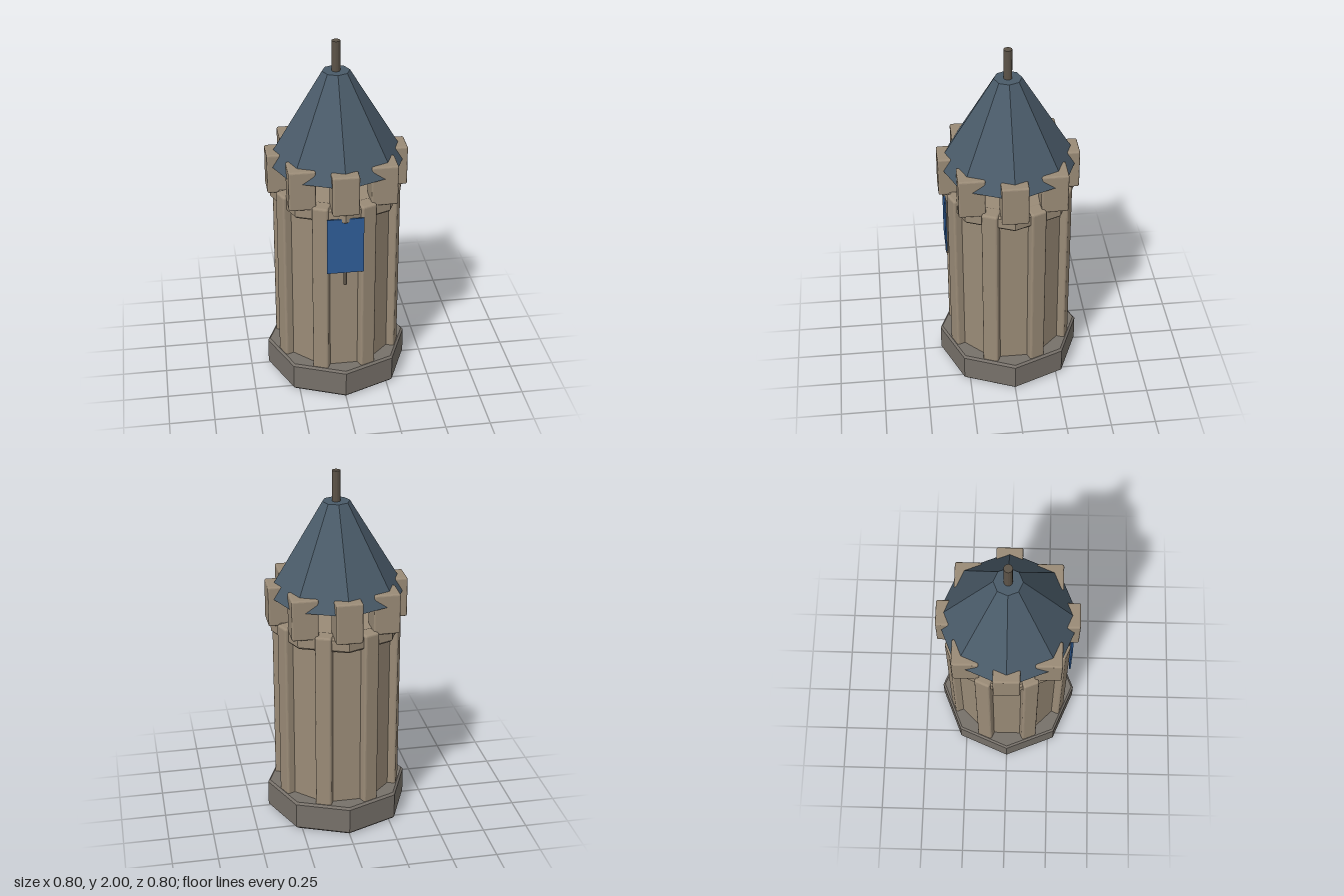
import * as THREE from 'three';
import { RoundedBoxGeometry } from 'three/addons/geometries/RoundedBoxGeometry.js';

const mat = (color) => new THREE.MeshStandardMaterial({ color, flatShading: true });
const stone = mat(0x9a8b77);
const darkStone = mat(0x77716a);
const slate = mat(0x4a5b69);
const wood = mat(0x5c5348);
const cloth = mat(0x2f5c96);

function add(parent, name, geometry, material, x = 0, y = 0, z = 0) {
  const mesh = new THREE.Mesh(geometry, material);
  mesh.name = name;
  mesh.position.set(x, y, z);
  parent.add(mesh);
  return mesh;
}

// Closed eight-sided slab with chamfered rims; a corner points along +z
function octagonSlab(radius, y0, y1, bevel) {
  const profile = [
    [0, y0], [radius - bevel, y0], [radius, y0 + bevel],
    [radius, y1 - bevel], [radius - bevel, y1], [0, y1],
  ].map(([r, y]) => new THREE.Vector2(r, y));
  return new THREE.LatheGeometry(profile, 8);
}

// Upright rod between two heights
function rod(radius, y0, y1) {
  return new THREE.CylinderGeometry(radius, radius, y1 - y0, 16).translate(0, (y0 + y1) / 2, 0);
}

export function createModel() {
  const tower = new THREE.Group();
  tower.name = 'tower';

  // Plinth, shaft and the ledge below the battlements
  add(tower, 'base', octagonSlab(0.4, 0, 0.168, 0.012), darkStone);
  const shaft = add(tower, 'shaft', octagonSlab(0.328, 0.1, 1.18, 0.008), stone);
  shaft.rotation.y = Math.PI / 8;
  add(tower, 'ledge', octagonSlab(0.365, 1.1, 1.18, 0.012), stone);

  // Pilasters on the shaft corners, turned to face outward
  const pilasters = new THREE.Group();
  pilasters.name = 'pilasters';
  tower.add(pilasters);
  const pilasterGeo = new RoundedBoxGeometry(0.09, 1.045, 0.09, 2, 0.012);
  // Battlement blocks, all square to the axes
  const battlements = new THREE.Group();
  battlements.name = 'battlements';
  tower.add(battlements);
  const merlonGeo = new RoundedBoxGeometry(0.145, 0.227, 0.145, 2, 0.01);
  for (let i = 0; i < 8; i++) {
    const a = (i * Math.PI) / 4;
    const b = a + Math.PI / 8;
    const p = add(pilasters, 'pilaster', pilasterGeo, stone, 0.31 * Math.sin(b), 0.663, 0.31 * Math.cos(b));
    p.rotation.y = b;
    add(battlements, 'merlon', merlonGeo, stone, 0.313 * Math.sin(a), 1.277, 0.313 * Math.cos(a));
  }

  // Blunt eight-sided roof and its finial
  add(tower, 'roof', new THREE.CylinderGeometry(0.075, 0.385, 0.512, 8), slate, 0, 1.576, 0);
  add(tower, 'finial', rod(0.023, 1.8, 2), wood);

  // Banner hanging on the front
  add(tower, 'banner', new THREE.BoxGeometry(0.2, 0.33, 0.008), cloth, 0, 0.965, 0.353);
  add(tower, 'bannerPole', rod(0.01, 0.72, 1.12), wood, 0, 0, 0.344);

  return tower;
}
